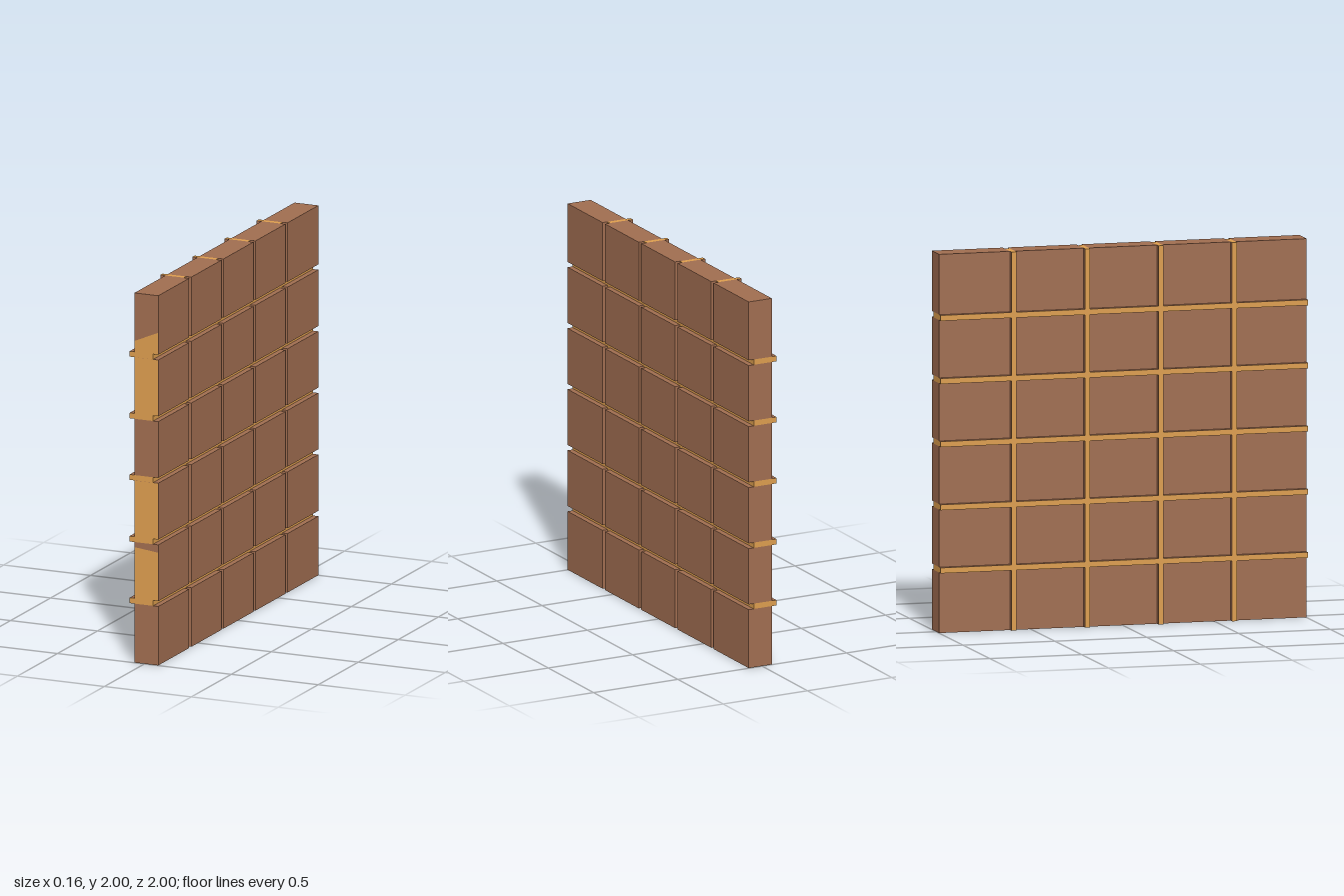
import * as THREE from 'three';
import { mergeGeometries } from 'three/addons/utils/BufferGeometryUtils.js';

const brown = new THREE.MeshStandardMaterial({ color: 0xa06d50 });
const orange = new THREE.MeshStandardMaterial({ color: 0xdc9d4e });

const BACK = -0.057, FRONT = 0.08;            // panel thickness along x
const BAR_BACK = -0.085, BAR_FRONT = 0.05;    // lattice bars stand proud at the back
const ROW_GAP = 0.029, COL_GAP = 0.027;
const ROWS = [1, 2, 3, 4, 5].map(i => i / 3);
const COLS = [-0.6, -0.2, 0.2, 0.6];

// Crack junctions as [z, y]
const P = {
  tl: [1, 2], tr: [-1, 2], bl: [1, 0], br: [-1, 0],
  a: [1, 1.8], b: [0.79, 1.54], c: [0.2, 1.51], d: [0.81, 1.21], e: [0.86, 1.14],
  f: [1, 1.14], g: [0.29, 1.18], h: [0.8, 0.81], i: [1, 0.61], j: [0.46, 0.8],
  k: [0.4, 0.85], l: [-0.18, 0.76], m: [0.43, 0.53], n: [0.14, 0.56], o: [-0.15, 0.65],
  p: [0.245, 0], q: [0.6, 0.19], r: [1, 0.36], s: [0.48, 0], t: [-0.21, 0.73],
  u: [-0.055, 0], v: [-1, 0.45], w: [-0.17, 1.04], x: [0.17, 1.3], y: [-0.56, 1.34],
  A: [0.16, 1.66], B: [0.53, 2], C: [-0.21, 2], D: [0.07, 1.743], E: [-0.42, 1.59],
  F: [-0.335, 2], G: [-0.76, 1.33], H: [-0.83, 2], I: [-1, 1.19],
};

// Broken pieces, each a loop of junctions
const FRAGMENTS = [
  'tl B A c b a', 'B C D A', 'C F E D', 'F H G y E', 'H tr I G', 'D E y w x c A',
  'y G I v t l w', 'a b d e f', 'b c x g d', 'f e h i', 'd g k j h e', 'g x w l k',
  'k l t o n m j', 'i h j m q r', 'r q s bl', 'q m n p s', 'n o u p', 't v br u o',
];

// Keeps the part of a polygon where sign * (point[axis] - limit) >= 0
function clip(poly, axis, limit, sign) {
  const out = [];
  poly.forEach((cur, i) => {
    const next = poly[(i + 1) % poly.length];
    const dc = sign * (cur[axis] - limit), dn = sign * (next[axis] - limit);
    if (dc >= 0) out.push(cur);
    if (dc * dn < 0) {
      const t = dc / (dc - dn);
      out.push([cur[0] + (next[0] - cur[0]) * t, cur[1] + (next[1] - cur[1]) * t]);
    }
  });
  return out;
}

// Tile extents between the gaps
function spans(lo, hi, centres, gap) {
  const edges = [lo, ...centres.flatMap(c => [c - gap / 2, c + gap / 2]), hi];
  const out = [];
  for (let i = 0; i < edges.length; i += 2) out.push([edges[i], edges[i + 1]]);
  return out;
}

function fragmentGeometry(loop) {
  const poly = loop.split(' ').map(k => [-P[k][0], P[k][1]]);
  const parts = [];
  for (const [u0, u1] of spans(-1, 1, COLS, COL_GAP)) {
    for (const [v0, v1] of spans(0, 2, ROWS, ROW_GAP)) {
      let piece = clip(clip(poly, 0, u0, 1), 0, u1, -1);
      piece = clip(clip(piece, 1, v0, 1), 1, v1, -1);
      const pts = piece.map(p => new THREE.Vector2(...p));
      if (pts.length < 3 || Math.abs(THREE.ShapeUtils.area(pts)) < 1e-5) continue;
      parts.push(new THREE.ExtrudeGeometry(new THREE.Shape(pts), { depth: FRONT - BACK, bevelEnabled: false }));
    }
  }
  return mergeGeometries(parts).translate(0, 0, BACK).rotateY(Math.PI / 2);
}

function add(parent, name, geometry, material) {
  const mesh = new THREE.Mesh(geometry, material);
  mesh.name = name;
  parent.add(mesh);
  return mesh;
}

// Thin coloured face lying on an edge of the panel
function skin(points) {
  return new THREE.ShapeGeometry(new THREE.Shape(points.map(p => new THREE.Vector2(...p))));
}

export function createModel() {
  const model = new THREE.Group();
  model.name = 'crackedPanel';

  // Cracked tiles
  const tiles = new THREE.Group();
  tiles.name = 'tiles';
  model.add(tiles);
  FRAGMENTS.forEach((loop, i) => add(tiles, `fragment${i + 1}`, fragmentGeometry(loop), brown));

  // Lattice bars: orange faces and ends, brown long sides
  const lattice = new THREE.Group();
  lattice.name = 'lattice';
  model.add(lattice);
  const depth = BAR_FRONT - BAR_BACK, mid = (BAR_FRONT + BAR_BACK) / 2;
  for (const y of ROWS) {
    add(lattice, 'horizontalBar', new THREE.BoxGeometry(depth, ROW_GAP, 2),
      [orange, orange, brown, brown, orange, orange]).position.set(mid, y, 0);
  }
  for (const z of COLS) {
    add(lattice, 'verticalBar', new THREE.BoxGeometry(depth, 2, COL_GAP),
      [orange, orange, orange, orange, brown, brown]).position.set(mid, 1, z);
  }

  // Exposed core on the front edge: bottom, top at the back, top at the face
  const exposed = [[1.681, 1.74, 1.8], [1.348, 1.652, 1.652], [0.681, 0.985, 0.985], [0.348, 0.625, 0.61]];
  for (const [low, topBack, topFace] of exposed) {
    add(model, 'exposedCore', skin([[BACK, low], [FRONT, low], [FRONT, topFace], [BACK, topBack]]), orange)
      .position.z = 1.001;
  }

  // Exposed core underneath
  const under = add(model, 'exposedCoreUnderside',
    skin([[BACK, -0.54], [FRONT, -0.48], [FRONT, -0.245], [BACK, -0.215]]), orange);
  under.rotation.x = Math.PI / 2;
  under.scale.y = 1;
  under.geometry.scale(1, -1, 1);
  // Restore winding after the mirror
  under.geometry.index.array.reverse();
  under.geometry.computeVertexNormals();
  under.position.y = -0.001;

  return model;
}
